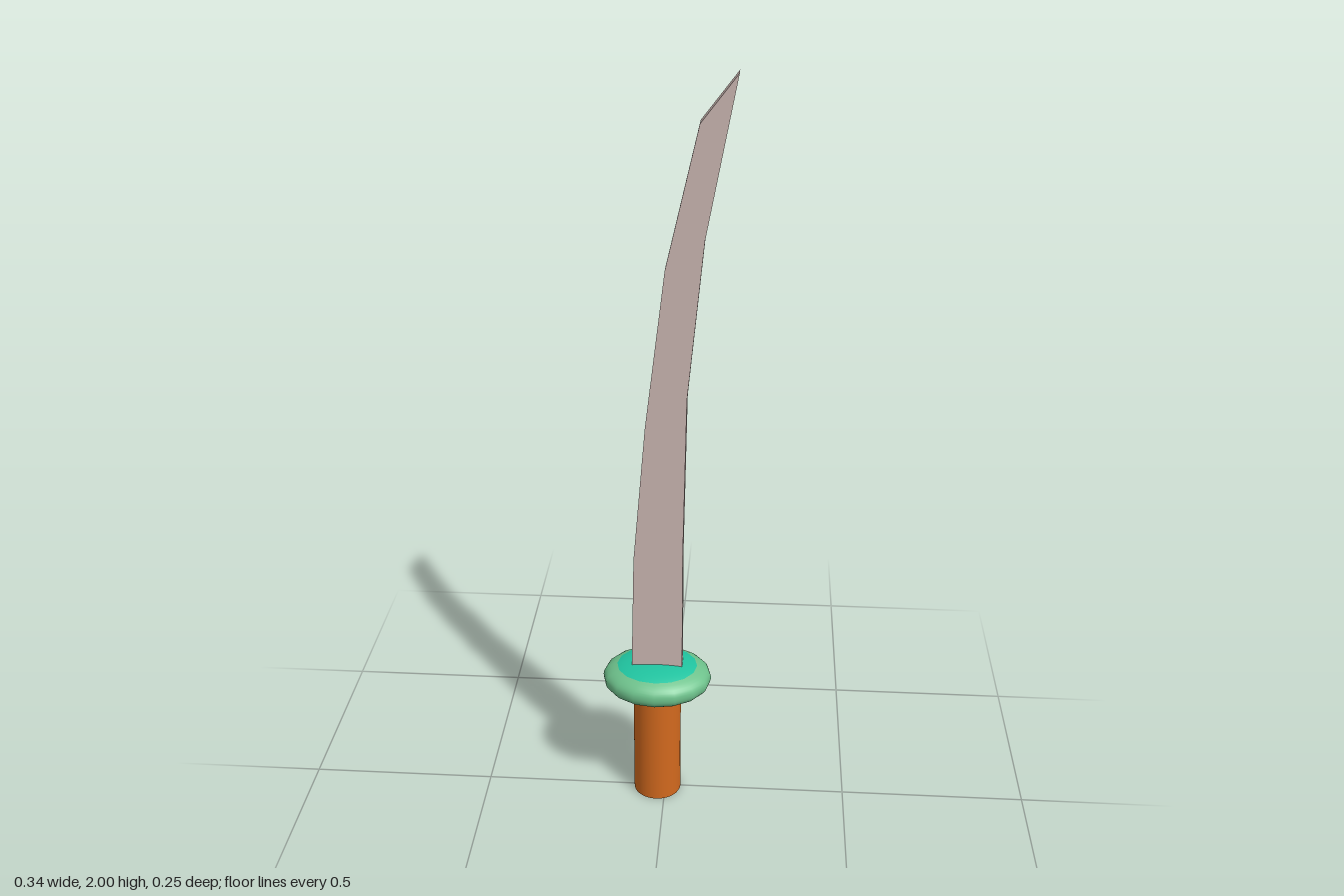
import * as THREE from 'three';

const paint = (name, color, side = THREE.FrontSide) => {
  const m = new THREE.MeshStandardMaterial({ color, side });
  m.name = name;
  return m;
};

export function createModel() {
  const sword = new THREE.Group();
  sword.name = 'curvedSword';
  const steel = paint('warm grey steel', 0xcab6b1);
  const orange = paint('orange wood', 0xd2691e);
  const green = paint('soft green', 0x6ec28c, THREE.DoubleSide);
  const teal = paint('teal', 0x20c4a0, THREE.DoubleSide);

  const add = (name, geometry, material, x = 0, y = 0) => {
    const mesh = new THREE.Mesh(geometry, material);
    mesh.name = name;
    mesh.position.set(x, y, 0);
    sword.add(mesh);
    return mesh;
  };
  const axisX = -0.022;

  // Handle
  add('handle', new THREE.CylinderGeometry(0.065, 0.065, 0.39, 32), orange, axisX, 0.195);

  // Guard: a plump oval disc, its rim and two caps cut from one rounded profile
  const R = 0.147, H = 0.05, n = 2.3;
  const onProfile = (a) => {
    const c = Math.cos(a), s = Math.sin(a);
    return new THREE.Vector2(
      Math.max(0, R * Math.pow(Math.abs(c), 2 / n)),
      H * Math.sign(s) * Math.pow(Math.abs(s), 2 / n));
  };
  const guardPart = (name, material, from, to) => {
    const points = [];
    for (let i = 0; i <= 14; i++) points.push(onProfile(from + (to - from) * i / 14));
    add(name, new THREE.LatheGeometry(points, 16), material, axisX, 0.369).scale.z = 0.843;
  };
  const split = Math.acos(Math.pow(0.74, n / 2));
  guardPart('guardRim', green, -split, split);
  guardPart('guardTop', teal, split, Math.PI / 2);
  guardPart('guardBottom', teal, -Math.PI / 2, -split);

  // Blade: a curved outline of constant thickness with a slanted tip
  const outline = [
    [-0.09, 0.39], [0.047, 0.39], [0.047, 0.76], [0.055, 1.2], [0.095, 1.61], [0.168, 2],
    [0.08, 1.885], [0, 1.535], [-0.05, 1.12], [-0.082, 0.74],
  ].map(([x, y]) => new THREE.Vector2(x, y));
  const blade = new THREE.ExtrudeGeometry(new THREE.Shape(outline), { depth: 0.04, bevelEnabled: false });
  blade.translate(0, 0, -0.02);
  add('blade', blade, steel);

  return sword;
}
